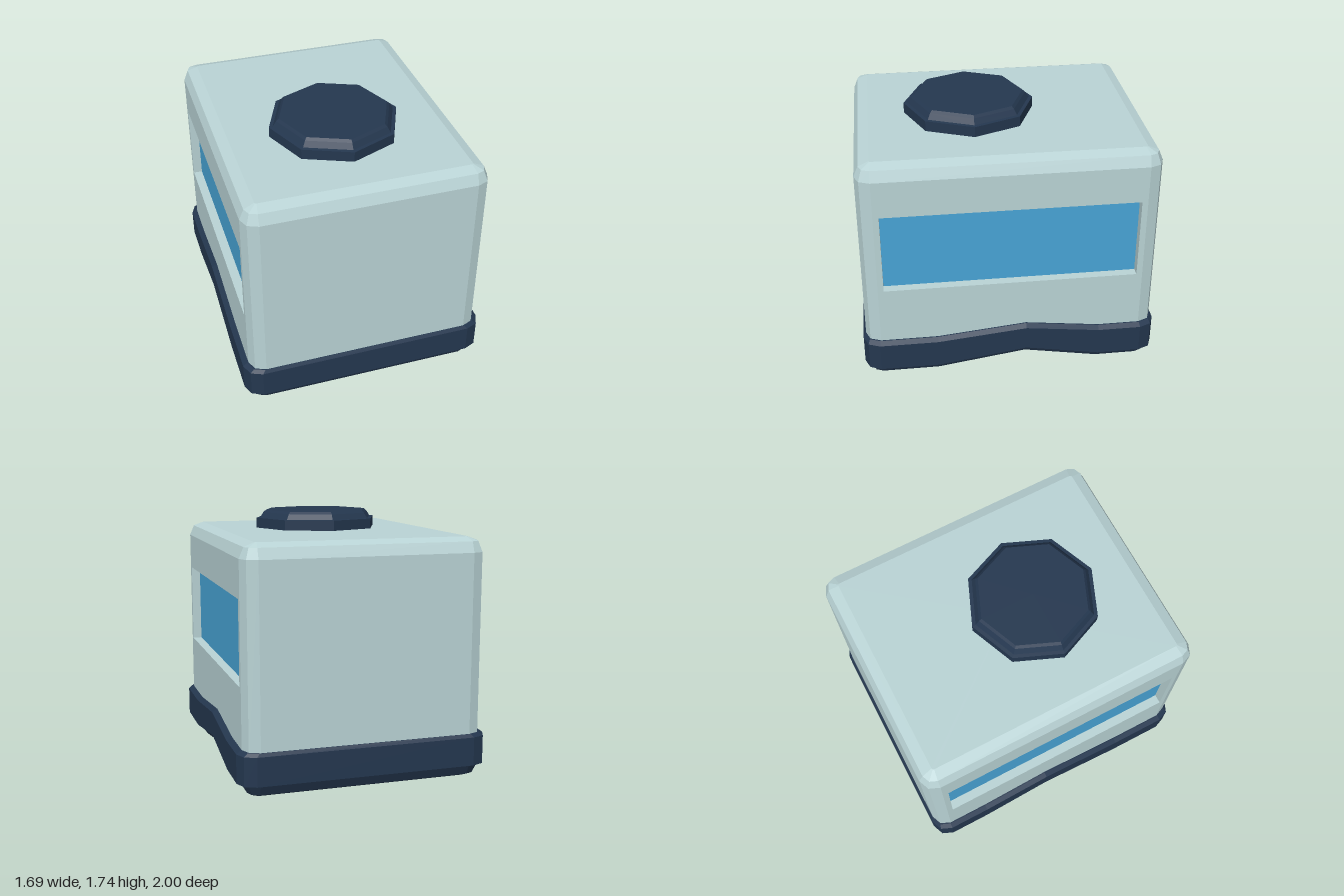
import * as THREE from 'three';

const shell = new THREE.MeshStandardMaterial({ color: 0xb9d3d5 });
shell.name = 'pale grey green';
const navy = new THREE.MeshStandardMaterial({ color: 0x24374f });
navy.name = 'navy';
const blue = new THREE.MeshStandardMaterial({ color: 0x48a4d6 });
blue.name = 'window blue';

// Sides of the base rise to a shallow peak just behind the middle
const breaks = [0.5, -0.1, -0.6];
const peak = z => Math.max(0, Math.min((0.5 - z) / 0.6, (z + 0.6) / 0.5));

// Rectangle with two-facet corners, counterclockwise from above
function ring([hx, hz, r, y, lift = 0], split) {
  const pts = [];
  const add = (x, z) => pts.push(new THREE.Vector3(x, y + lift * peak(z), z));
  [[1, -1], [-1, -1], [-1, 1], [1, 1]].forEach(([sx, sz], c) => {
    for (let k = 0; k < 3; k++) {
      const a = (c + k / 2) * Math.PI / 2;
      add(sx * (hx - r) + r * Math.cos(a), sz * (hz - r) - r * Math.sin(a));
    }
    if (split && c === 1) [...breaks].reverse().forEach(z => add(-hx, z));
    if (split && c === 3) breaks.forEach(z => add(hx, z));
  });
  return pts;
}

// Faceted skin through stacked rings, with optional end caps
function loft(rows, { split = false, bottom = false, top = false, skip = () => false }) {
  const rings = rows.map(row => ring(row, split));
  const n = rings[0].length, tris = [];
  for (let j = 0; j < rings.length - 1; j++) {
    for (let i = 0; i < n; i++) {
      if (skip(j, i)) continue;
      const k = (i + 1) % n, a = rings[j], b = rings[j + 1];
      tris.push(a[i], a[k], b[k], a[i], b[k], b[i]);
    }
  }
  const lo = rings[0], hi = rings[rings.length - 1];
  for (let i = 0; i < n; i++) {
    const k = (i + 1) % n;
    if (bottom) tris.push(new THREE.Vector3(0, rows[0][3], 0), lo[k], lo[i]);
    if (top) tris.push(new THREE.Vector3(0, hi[0].y, 0), hi[i], hi[k]);
  }
  const g = new THREE.BufferGeometry().setFromPoints(tris);
  g.computeVertexNormals();
  return g;
}

function part(name, geometry, material, parent) {
  const m = new THREE.Mesh(geometry, material);
  m.name = name;
  parent.add(m);
  return m;
}

function rect(path, x, y0, y1) {
  path.moveTo(-x, y0);
  path.lineTo(x, y0);
  path.lineTo(x, y1);
  path.lineTo(-x, y1);
  path.closePath();
  return path;
}

export function createModel() {
  const model = new THREE.Group();
  model.name = 'box with windows';

  // Body: the long sides are left open for the window walls
  const HX = 0.807, HZ = 0.982;
  part('body', loft([
    [HX, HZ, 0.1, 0.2],
    [HX, HZ, 0.1, 1.515],
    [HX - 0.03, HZ - 0.03, 0.07, 1.586],
    [HX - 0.1, HZ - 0.1, 0.012, 1.613],
  ], { top: true, skip: (j, i) => j === 0 && (i === 5 || i === 11) }), shell, model);

  // Window walls with recessed panes on both sides
  const depth = 0.065;
  const wall = rect(new THREE.Shape(), HZ - 0.1, 0.2, 1.515);
  wall.holes.push(rect(new THREE.Path(), 0.843, 0.71, 1.265));
  const wallGeo = new THREE.ExtrudeGeometry(wall, { depth, bevelEnabled: false });
  const paneGeo = new THREE.PlaneGeometry(1.69, 0.56);
  for (const s of [1, -1]) {
    const side = new THREE.Group();
    side.name = s > 0 ? 'leftWindow' : 'rightWindow';
    side.rotation.y = s * Math.PI / 2;
    part('windowWall', wallGeo, shell, side).position.z = HX - depth;
    part('pane', paneGeo, blue, side).position.set(0, 0.9875, HX - depth + 0.003);
    model.add(side);
  }

  // Base: chamfered tray with a protruding band
  part('base', loft([
    [0.71, 0.88, 0.012, 0, 0.09],
    [0.777, 0.95, 0.07, 0.03, 0.09],
    [0.81, 0.982, 0.1, 0.1, 0.09],
    [0.845, 1, 0.11, 0.1, 0.09],
    [0.845, 1, 0.11, 0.293, 0.062],
    [0.815, 0.987, 0.1, 0.315, 0.062],
    [0.78, 0.95, 0.07, 0.315, 0.062],
  ], { split: true, bottom: true }), navy, model);

  // Eight-sided lid on the roof
  const profile = [[0.44, 1.6], [0.44, 1.683], [0.415, 1.685], [0.39, 1.722], [0.372, 1.738], [0, 1.738]]
    .map(([r, y]) => new THREE.Vector2(r, y));
  const lid = new THREE.LatheGeometry(profile, 8).toNonIndexed();
  lid.computeVertexNormals();
  part('lid', lid, navy, model).position.z = 0.197;

  return model;
}
